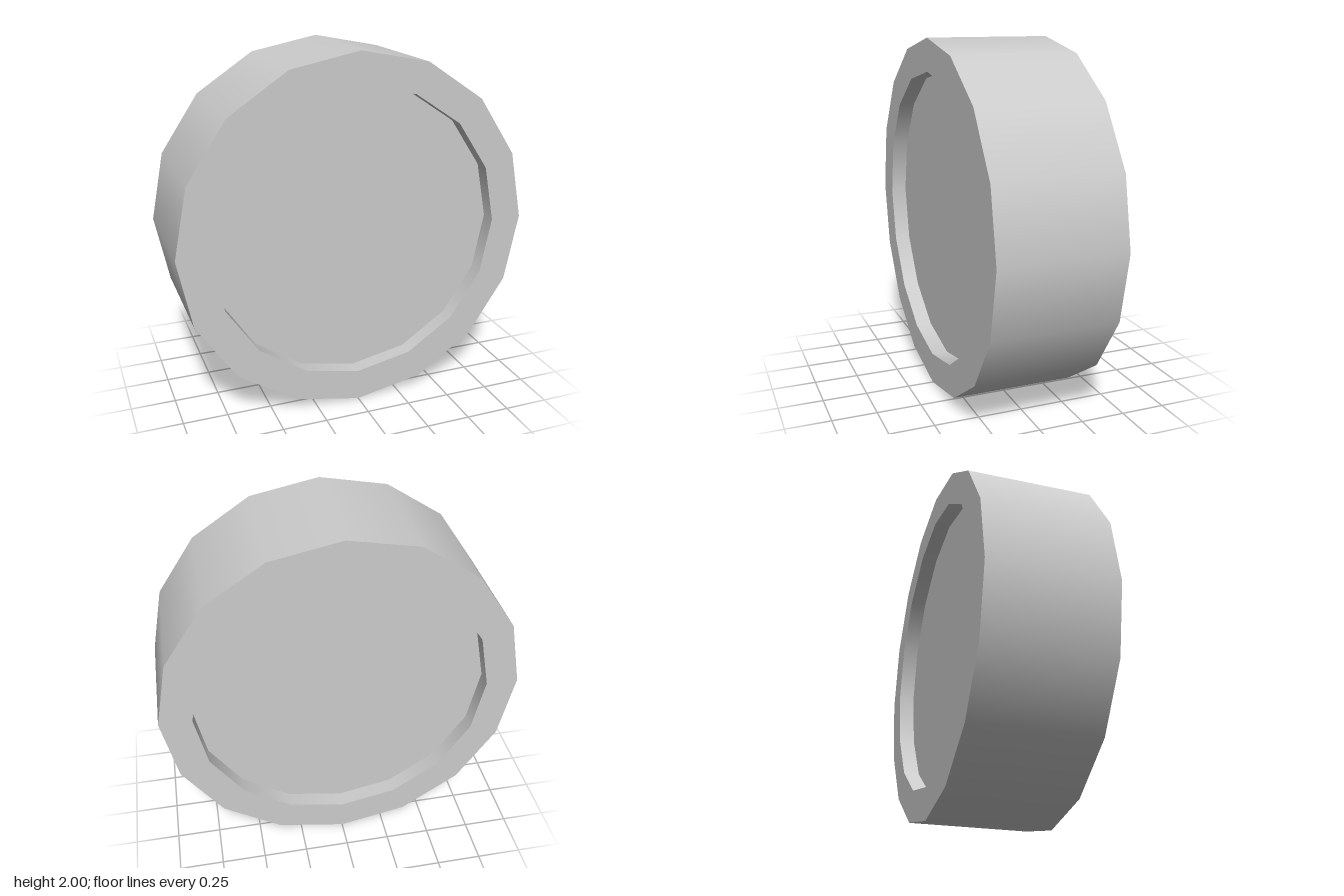
import * as THREE from 'three';

const SIDES = 16;
const OUTER = 1;       // outer radius
const INNER = 0.82;    // radius of the recessed faces
const HALF = 0.35;     // half the thickness
const FLOOR = 0.26;    // distance of each recessed face from the middle

export function createModel() {
  const model = new THREE.Group();
  model.name = 'recessedDisc';
  const material = new THREE.MeshStandardMaterial({ color: 0xcccccc });

  // Half section from the back centre to the front centre: [radius, depth]
  const profile = [
    [0, -FLOOR], [INNER, -FLOOR], [INNER, -HALF], [OUTER, -HALF],
    [OUTER, HALF], [INNER, HALF], [INNER, FLOOR], [0, FLOOR],
  ].map(([r, d]) => new THREE.Vector2(r, d));

  const names = [
    'backFace', 'backRecessWall', 'backRim', 'outerWall',
    'frontRim', 'frontRecessWall', 'frontFace',
  ];

  // One lathe per section edge: smooth around the axis, sharp between parts
  names.forEach((name, i) => {
    const geometry = new THREE.LatheGeometry([profile[i], profile[i + 1]], SIDES);
    geometry.rotateX(Math.PI / 2);
    const mesh = new THREE.Mesh(geometry, material);
    mesh.name = name;
    mesh.position.y = OUTER;
    model.add(mesh);
  });

  return model;
}
